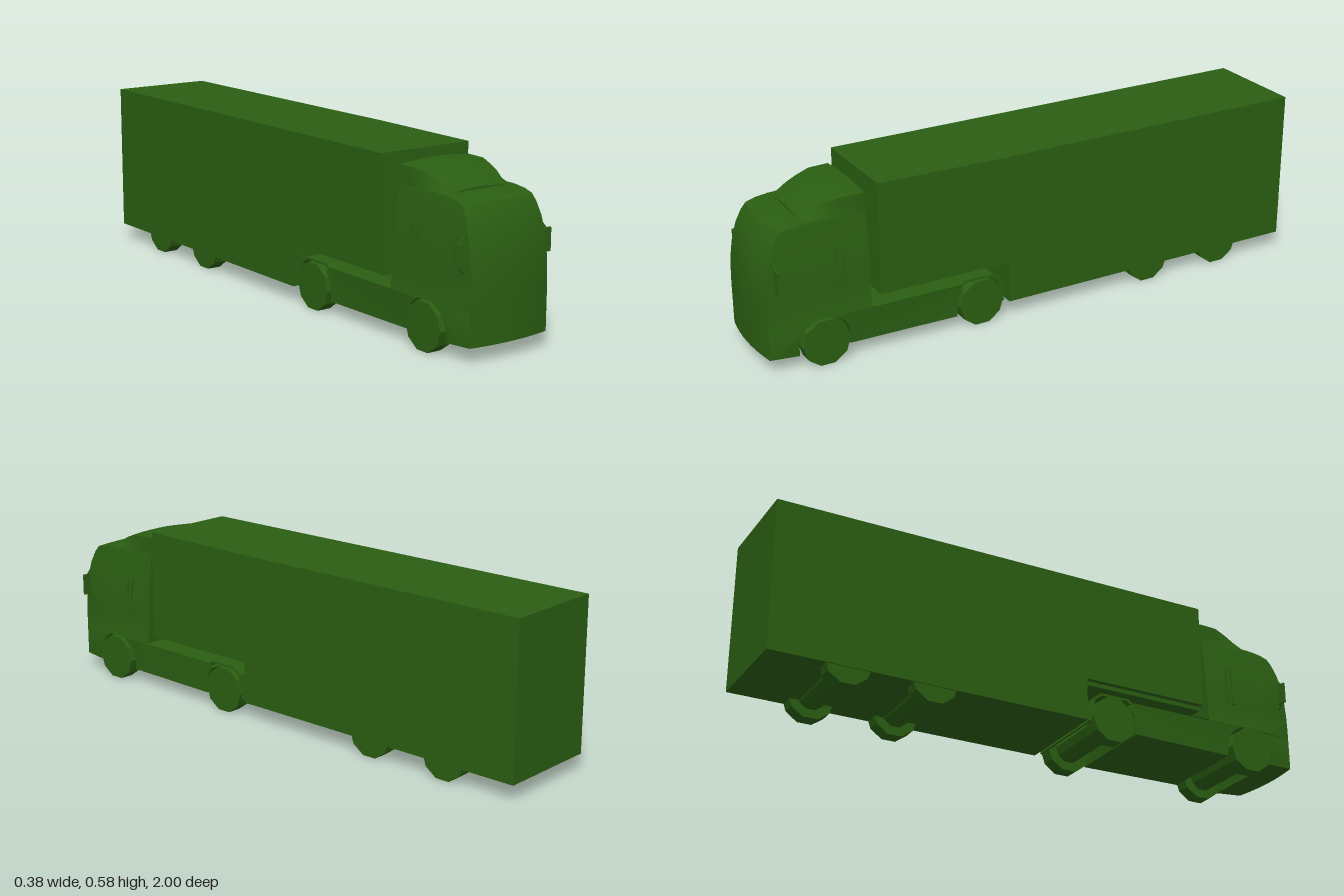
import * as THREE from 'three';
import { toCreasedNormals } from 'three/addons/utils/BufferGeometryUtils.js';

const paint = new THREE.MeshStandardMaterial({ color: 0x2a5e12 });

function add(group, name, geometry, x = 0, y = 0, z = 0) {
  const mesh = new THREE.Mesh(geometry, paint);
  mesh.name = name;
  mesh.position.set(x, y, z);
  group.add(mesh);
  return mesh;
}

// Box given by its limits on each axis
function block(group, name, [x0, x1], [y0, y1], [z0, z1]) {
  return add(group, name, new THREE.BoxGeometry(x1 - x0, y1 - y0, z1 - z0),
    (x0 + x1) / 2, (y0 + y1) / 2, (z0 + z1) / 2);
}

// Closed skin over equal-length rings of [x, y, z], with both ends capped
function loft(rings) {
  const n = rings[0].length, pos = rings.flat(2), index = [];
  for (let i = 0; i < rings.length - 1; i++) {
    for (let j = 0; j < n; j++) {
      const a = i * n + j, b = i * n + (j + 1) % n;
      index.push(a, b, b + n, a, b + n, a + n);
    }
  }
  [0, rings.length - 1].forEach((r, end) => {
    const centre = pos.length / 3;
    for (let k = 0; k < 3; k++) pos.push(rings[r].reduce((s, p) => s + p[k], 0) / n);
    for (let j = 0; j < n; j++) {
      const a = r * n + j, b = r * n + (j + 1) % n;
      index.push(centre, ...(end ? [a, b] : [b, a]));
    }
  });
  const g = new THREE.BufferGeometry();
  g.setAttribute('position', new THREE.Float32BufferAttribute(pos, 3));
  g.setIndex(index);
  return toCreasedNormals(g, 0.5);
}

// Side profile in (z, y) extruded across the width
function sideExtrude(shape, halfWidth, steps = 1) {
  const g = new THREE.ExtrudeGeometry(shape,
    { depth: 2 * halfWidth, steps, bevelEnabled: false, curveSegments: 12 });
  return g.translate(0, 0, -halfWidth).rotateY(-Math.PI / 2);
}

const BOW = 0.015; // how far the cab front curves back at its corners

// Upper cab: plan outline repeated at rising heights
function cabGeometry() {
  const levels = [ // y, front z, half width at front, half width at side
    [0.16, 0.998, 0.154, 0.172], [0.20, 0.998, 0.154, 0.165], [0.25, 0.997, 0.153, 0.164],
    [0.31, 0.992, 0.153, 0.162], [0.36, 0.984, 0.152, 0.157], [0.41, 0.97, 0.148, 0.151],
    [0.45, 0.952, 0.143, 0.146], [0.472, 0.935, 0.14, 0.143], [0.482, 0.905, 0.139, 0.142],
    [0.488, 0.86, 0.139, 0.141]];
  return loft(levels.map(([y, zf, wf, ws]) => {
    const zs = Math.min(0.87, zf - 0.06);
    const ring = [[ws, y, zs], [ws, y, 0.63], [-ws, y, 0.63], [-ws, y, zs]];
    for (let i = 0; i <= 8; i++) {
      const t = i / 4 - 1;
      ring.push([t * wf, y, zf - BOW * t * t]);
    }
    return ring;
  }));
}

// Bumper, front arch and tractor chassis as one profile
function lowerBodyGeometry() {
  const s = new THREE.Shape();
  s.moveTo(0.325, 0.045);
  s.lineTo(0.71, 0.045);
  s.lineTo(0.706, 0.08);
  s.absarc(0.797, 0.075, 0.09, Math.PI - 0.1, 0.1, true);
  s.lineTo(0.885, 0.045);
  s.lineTo(0.998, 0.05);
  s.lineTo(0.998, 0.162);
  s.lineTo(0.63, 0.162);
  s.lineTo(0.31, 0.158);
  s.lineTo(0.30, 0.14);
  s.lineTo(0.32, 0.11);
  const g = sideExtrude(s, 1, 8), p = g.attributes.position;
  for (let i = 0; i < p.count; i++) {
    const t = p.getX(i), z = p.getZ(i), front = z > 0.99;
    // lower edges tuck in under the cab
    const tuck = z > 0.7 ? 0.01 * (0.162 - p.getY(i)) / 0.12 : 0;
    p.setX(i, t * (front ? 0.154 : 0.172 - tuck));
    if (front) p.setZ(i, z - BOW * t * t);
  }
  return toCreasedNormals(g, 0.5);
}

// Roof deflector: crowned sections from the rear to the front lip
function deflectorGeometry() {
  const sections = [ // z, half width at top, edge height
    [0.63, 0.14, 0.547], [0.70, 0.138, 0.546], [0.75, 0.125, 0.535],
    [0.79, 0.115, 0.522], [0.82, 0.108, 0.505], [0.84, 0.105, 0.488]];
  return loft(sections.map(([z, w, h]) => {
    const ring = [[-0.14, 0.484, z], [0.14, 0.484, z]];
    for (let i = 0; i <= 6; i++) {
      const t = 1 - i / 3;
      ring.push([t * w, h + 0.008 * (1 - t * t), z]);
    }
    return ring;
  }));
}

// Trailer nose: its left wall tapers in toward the front
function trailerNoseGeometry() {
  const section = (z, left) =>
    [[-0.184, 0.205, z], [left, 0.205, z], [left, 0.58, z], [-0.184, 0.58, z]];
  return loft([section(0.13, 0.182), section(0.597, 0.167)]);
}

export function createModel() {
  const truck = new THREE.Group();
  truck.name = 'articulatedTruck';

  // Trailer
  block(truck, 'trailerBody', [-0.184, 0.182], [0.055, 0.58], [-1, 0.13]);
  add(truck, 'trailerNose', trailerNoseGeometry());
  block(truck, 'trailerNoseFloor', [-0.165, 0.16], [0.19, 0.206], [0.129, 0.595]);

  // Tractor
  add(truck, 'cab', cabGeometry());
  add(truck, 'lowerBody', lowerBodyGeometry());
  add(truck, 'roofDeflector', deflectorGeometry());

  // Mudguard band over the drive wheels
  const band = [[0.325, 0.145], [0.30, 0.168], [0.19, 0.168], [0.16, 0.145], [0.146, 0.06],
    [0.153, 0.06], [0.167, 0.14], [0.194, 0.16], [0.295, 0.16], [0.315, 0.14]];
  add(truck, 'mudguard',
    sideExtrude(new THREE.Shape(band.map((p) => new THREE.Vector2(...p))), 0.172));

  // Wheels and axles, ten-sided with a flat resting on the ground
  const drum = (r, length) => new THREE.CylinderGeometry(r, r, length, 10)
    .rotateY(Math.PI / 10).rotateZ(Math.PI / 2).toNonIndexed();
  const roundPart = (name, r, length, x, z) => {
    const g = drum(r, length);
    g.computeVertexNormals();
    g.computeBoundingBox();
    // turn so that a flat side, not a corner, faces down
    if (g.boundingBox.max.y > r * 0.98) {
      g.rotateX(Math.PI / 10);
    }
    add(truck, name, g, x, 0.078, z);
  };
  for (const z of [0.797, 0.235, -0.43, -0.73]) {
    roundPart('axle', 0.05, 0.27, 0, z);
    for (const side of [-1, 1]) roundPart('wheel', 0.082, 0.052, side * 0.154, z);
  }

  // Mirrors with brackets, and grab rails behind the doors
  for (const side of [-1, 1]) {
    const mirror = new THREE.Group();
    mirror.name = side > 0 ? 'leftMirror' : 'rightMirror';
    add(mirror, 'mirrorPlate', new THREE.BoxGeometry(0.032, 0.075, 0.008), side * 0.175, 0.328, 0.952);
    for (const [y0, y1] of [[0.365, 0.392], [0.29, 0.268]]) {
      const path = new THREE.LineCurve3(
        new THREE.Vector3(side * 0.172, y0, 0.952), new THREE.Vector3(side * 0.148, y1, 0.95));
      add(mirror, 'mirrorBracket', new THREE.TubeGeometry(path, 1, 0.003, 6));
    }
    truck.add(mirror);
    for (const z of [0.742, 0.72]) {
      const rail = add(truck, 'grabRail', new THREE.BoxGeometry(0.01, 0.135, 0.006), side * 0.162, 0.312, z);
      rail.rotation.z = side * 0.05;
    }
  }
  return truck;
}
